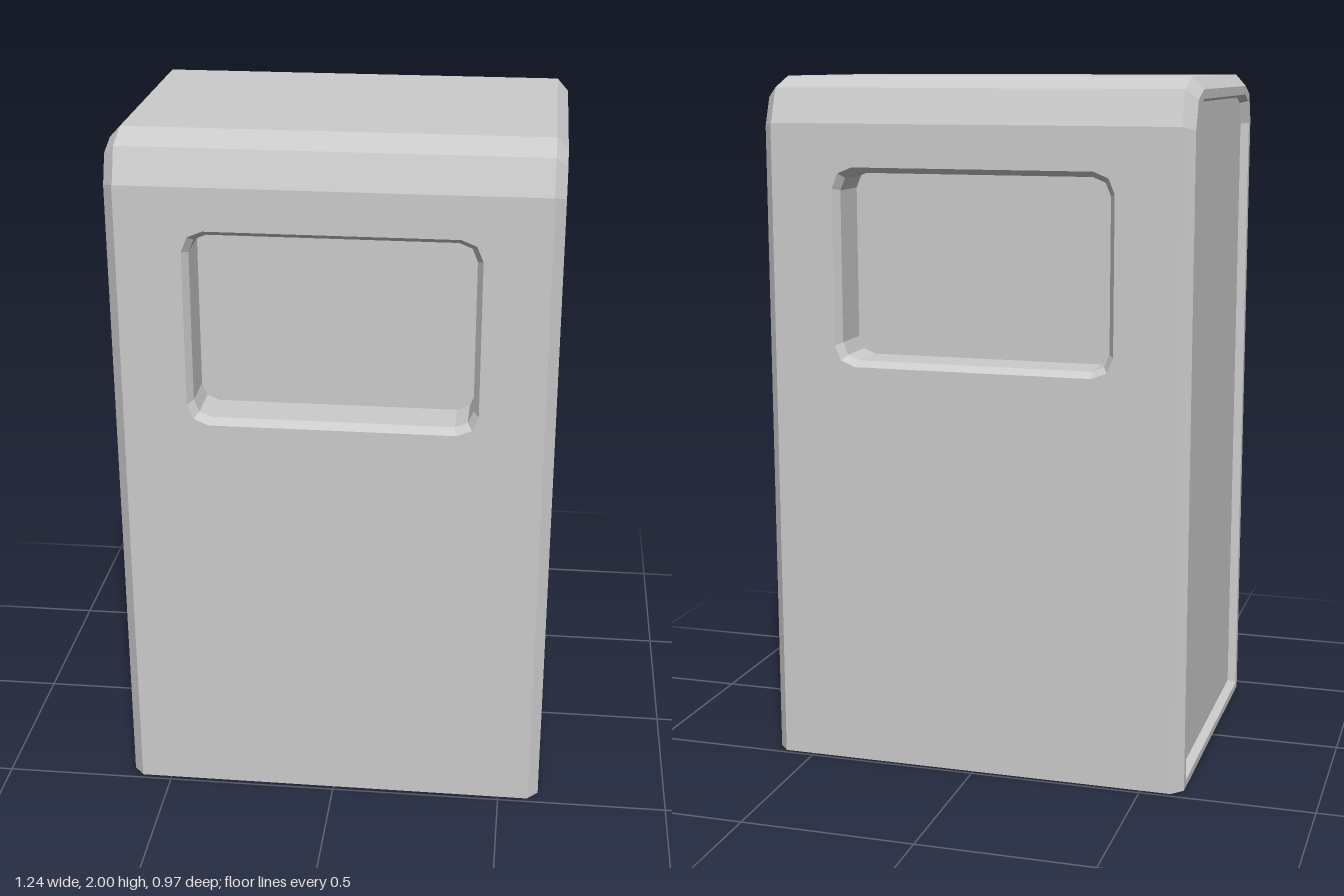
import * as THREE from 'three';

const material = new THREE.MeshStandardMaterial({ color: 0xcccccc, flatShading: true, side: THREE.DoubleSide });
const V = (x, y, z) => new THREE.Vector3(x, y, z);

// Skin consecutive rings of points; optionally close each ring and cap the last one
function loft(rings, { closed = false, cap = false } = {}) {
  const pts = [];
  const n = rings[0].length;
  for (let r = 0; r < rings.length - 1; r++) {
    const a = rings[r], b = rings[r + 1];
    for (let i = 0; i < (closed ? n : n - 1); i++) {
      const j = (i + 1) % n;
      pts.push(a[i], b[i], b[j], a[i], b[j], a[j]);
    }
  }
  if (cap) {
    const last = rings[rings.length - 1];
    const centre = last.reduce((s, p) => s.add(p), V(0, 0, 0)).divideScalar(n);
    last.forEach((p, i) => pts.push(centre, last[(i + 1) % n], p));
  }
  const geometry = new THREE.BufferGeometry().setFromPoints(pts);
  geometry.computeVertexNormals();
  return geometry;
}

function part(name, geometry) {
  const mesh = new THREE.Mesh(geometry, material);
  mesh.name = name;
  return mesh;
}

// Cross-section of the housing at x, inset by d, from front foot over the roof to back foot
function section(x, d, bottom = 0) {
  const half = [
    [0.485 - d, bottom],
    [0.485 - d, 1.87 - 0.3 * d],
    [0.448 - 0.8 * d, 1.968 - 0.8 * d],
    [0.357 - 0.3 * d, 2 - d],
  ];
  return [
    ...half.map(([z, y]) => V(x, y, z)),
    ...half.slice().reverse().map(([z, y]) => V(x, y, -z)),
  ];
}

// Window outline with two-segment corners, clockwise seen from the front
function windowRing(z, d) {
  const w = 0.408 - d, h = 0.283 - d, r = 0.06 - d * 0.6, cy = 1.466;
  const ring = [];
  [[1, 1], [-1, 1], [-1, -1], [1, -1]].forEach(([sx, sy], k) => {
    for (let s = 0; s <= 2; s++) {
      const a = (k + s / 2) * Math.PI / 2;
      ring.push(V(sx * (w - r) + r * Math.cos(a), cy + sy * (h - r) + r * Math.sin(a), z));
    }
  });
  return ring.reverse();
}

// Flat wall with the window cut out, plus its bevelled recess
function wallWithWindow(name) {
  const group = new THREE.Group();
  group.name = name;
  const z = 0.485;
  const shape = new THREE.Shape([[-0.59, 0], [0.59, 0], [0.59, 1.87], [-0.59, 1.87]].map(p => new THREE.Vector2(...p)));
  shape.holes.push(new THREE.Path(windowRing(0, 0).map(p => new THREE.Vector2(p.x, p.y))));
  group.add(part('wall', new THREE.ShapeGeometry(shape).translate(0, 0, z)));
  group.add(part('windowRecess', loft(
    [windowRing(z, 0), windowRing(z - 0.025, 0.016), windowRing(z - 0.15, 0.016)],
    { closed: true, cap: true })));
  return group;
}

// Bevelled edge, flat rim and sunken panel of one end
function endPanel(name) {
  const group = new THREE.Group();
  group.name = name;
  group.add(part('edgeBevel', loft([section(0.588, 0), section(0.62, 0.034)])));
  group.add(part('rim', loft([section(0.62, 0.034), section(0.62, 0.06, 0.022)], { closed: true })));
  group.add(part('sunkenPanel', loft(
    [section(0.62, 0.06, 0.022), section(0.595, 0.069, 0.031)],
    { closed: true, cap: true })));
  return group;
}

export function createModel() {
  const model = new THREE.Group();
  model.name = 'binHousing';

  // Roof with its faceted shoulders; the underside of the housing stays open
  model.add(part('roof', loft([section(-0.588, 0).slice(1, -1), section(0.588, 0).slice(1, -1)])));

  // Matching walls and ends, turned half a circle for the opposite side
  const back = wallWithWindow('backWall');
  back.rotation.y = Math.PI;
  const right = endPanel('rightEnd');
  right.rotation.y = Math.PI;
  model.add(wallWithWindow('frontWall'), back, endPanel('leftEnd'), right);
  return model;
}
